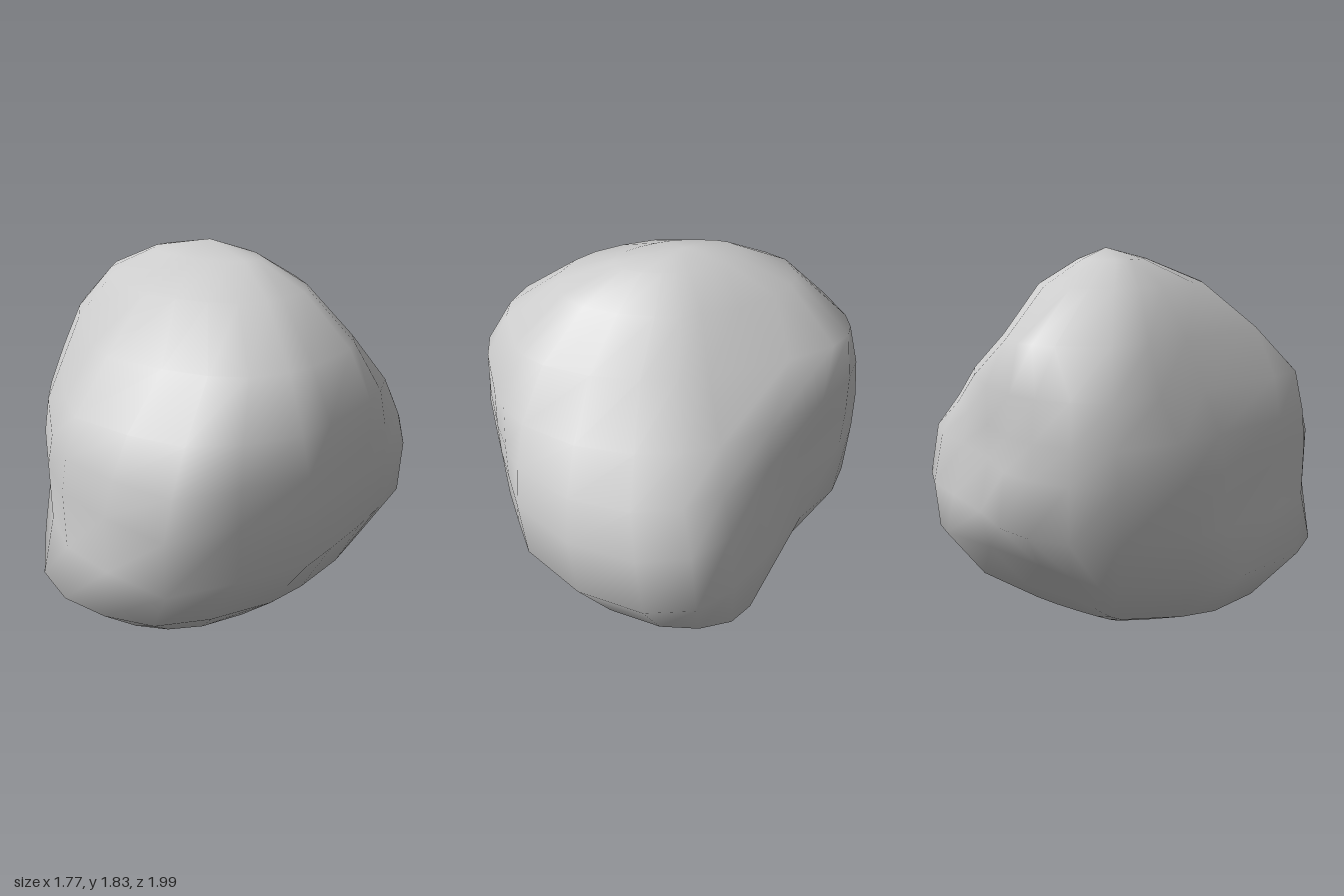
import * as THREE from 'three';

// widest outline of the boulder, seen from above: [x, z]
const OUTLINE = [
  [0.88, 0], [0.87, 0.25], [0.86, 0.45], [0.69, 0.72], [0.52, 0.99], [0.2, 0.97],
  [-0.08, 0.91], [-0.32, 0.75], [-0.61, 0.48], [-0.75, 0.32], [-0.89, 0.03],
  [-0.85, -0.18], [-0.77, -0.36], [-0.64, -0.49], [-0.4, -0.6], [-0.15, -0.77],
  [0.08, -0.93], [0.28, -1], [0.5, -0.94], [0.73, -0.73], [0.88, -0.42], [0.88, -0.2],
];

// levels: height, reach to -x, +x, -z, +z, how closely the outline is followed,
// and the corner shapes front +x, front -x, back -x, back +x
// (below 1 the corner is full, 1 is an ellipse, 2 is cut straight)
const LEVELS = [
  [0.06, 0.28, 0.27, 0.42, 0.40, 0, 1, 0.9, 1.8, 0.9],
  [0.19, 0.54, 0.52, 0.71, 0.71, 0, 0.95, 0.88, 2.4, 0.9],
  [0.42, 0.75, 0.76, 0.93, 0.98, 0.2, 0.95, 1.05, 2.2, 0.95],
  [0.65, 0.855, 0.87, 1.00, 0.99, 0.9, 0.9, 1.1, 1.3, 1],
  [0.91, 0.89, 0.88, 0.95, 1.00, 1, 1, 1, 1, 1],
  [1.07, 0.89, 0.88, 0.84, 0.96, 0.7, 0.75, 1.7, 0.95, 0.95],
  [1.25, 0.855, 0.87, 0.72, 0.89, 0.3, 0.7, 1.85, 0.9, 1.1],
  [1.46, 0.74, 0.76, 0.50, 0.67, 0, 0.65, 1.6, 0.5, 1.15],
  [1.67, 0.52, 0.53, 0.36, 0.41, 0, 0.8, 1.4, 0.8, 1.2],
  [1.78, 0.27, 0.30, 0.18, 0.14, 0, 1, 1.2, 0.9, 1.1],
];

function boulderGeometry() {
  const n = OUTLINE.length;
  const positions = [];
  const index = [];

  // each ring blends a section with shaped corners and the scaled outline
  for (const [y, left, right, back, front, follow, ...corners] of LEVELS) {
    for (const [ox, oz] of OUTLINE) {
      const angle = Math.atan2(oz, ox);
      const rx = ox < 0 ? left : right;
      const rz = oz < 0 ? back : front;
      const power = oz < 0 ? corners[ox < 0 ? 2 : 3] : corners[ox < 0 ? 1 : 0];
      const sx = Math.sign(ox) * Math.abs(Math.cos(angle)) ** power;
      const sz = Math.sign(oz) * Math.abs(Math.sin(angle)) ** power;
      positions.push(
        rx * THREE.MathUtils.lerp(sx, ox / (ox < 0 ? 0.89 : 0.88), follow),
        y,
        rz * THREE.MathUtils.lerp(sz, oz, follow),
      );
    }
  }
  const bottom = positions.length / 3;
  const top = bottom + 1;
  positions.push(0.02, 0, 0.01, 0, 1.83, -0.05);

  // sides
  for (let i = 0; i < LEVELS.length - 1; i++) {
    for (let j = 0; j < n; j++) {
      const a = i * n + j;
      const b = i * n + (j + 1) % n;
      index.push(a, a + n, b, b, a + n, b + n);
    }
  }
  // closing fans
  const last = (LEVELS.length - 1) * n;
  for (let j = 0; j < n; j++) {
    const k = (j + 1) % n;
    index.push(bottom, j, k, top, last + k, last + j);
  }

  const geometry = new THREE.BufferGeometry();
  geometry.setAttribute('position', new THREE.Float32BufferAttribute(positions, 3));
  geometry.setIndex(index);
  geometry.computeVertexNormals();
  return geometry;
}

export function createModel() {
  const group = new THREE.Group();
  group.name = 'rock';
  const boulder = new THREE.Mesh(
    boulderGeometry(),
    new THREE.MeshStandardMaterial({ color: 0xcccccc }),
  );
  boulder.name = 'boulder';
  group.add(boulder);
  return group;
}
